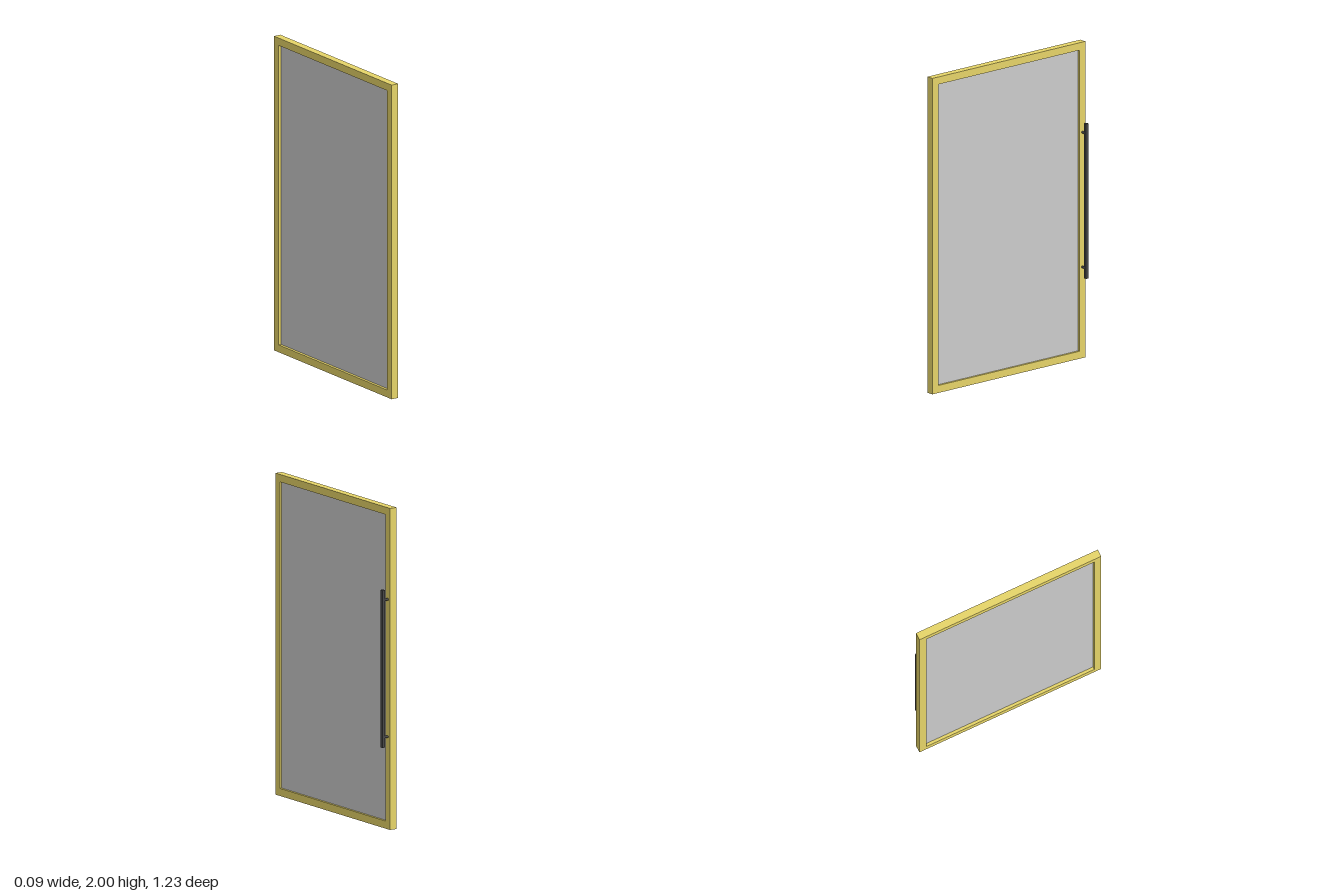
import * as THREE from 'three';

const yellow = new THREE.MeshStandardMaterial({ color: 0xe6d468 });
const grey = new THREE.MeshStandardMaterial({ color: 0xcccccc });
const dark = new THREE.MeshStandardMaterial({ color: 0x484848 });

const W = 1.23, H = 2, D = 0.048, BORDER = 0.047; // door width, height, depth, frame border

function add(parent, name, geometry, material, x, y, z) {
  const mesh = new THREE.Mesh(geometry, material);
  mesh.name = name;
  mesh.position.set(x, y, z);
  parent.add(mesh);
  return mesh;
}

function rectangle(PathType, z, y0, y1) {
  return new PathType([[-z, y0], [z, y0], [z, y1], [-z, y1]].map(p => new THREE.Vector2(...p)));
}

export function createModel() {
  const door = new THREE.Group();
  door.name = 'door';

  // Frame: a rectangle with a hole, extruded along x
  const outline = rectangle(THREE.Shape, W / 2, 0, H);
  outline.holes.push(rectangle(THREE.Path, W / 2 - BORDER, BORDER, H - BORDER));
  const frame = new THREE.ExtrudeGeometry(outline, { depth: D, bevelEnabled: false });
  frame.rotateY(Math.PI / 2);
  add(door, 'frame', frame, yellow, -D, 0, 0);

  // Panel recessed inside the frame
  add(door, 'panel', new THREE.BoxGeometry(0.016, H - 2 * BORDER, W - 2 * BORDER), grey, -0.022, H / 2, 0);

  // Long pull bar on two round standoffs
  const handle = new THREE.Group();
  handle.name = 'handle';
  handle.position.z = -0.59;
  door.add(handle);
  add(handle, 'pullBar', new THREE.BoxGeometry(0.02, 0.98, 0.02), dark, 0.037, 1.003, 0);
  for (const y of [0.577, 1.43]) {
    const post = new THREE.CylinderGeometry(0.0075, 0.0075, 0.03, 20);
    post.rotateZ(Math.PI / 2);
    add(handle, 'standoff', post, dark, 0.014, y, 0);
  }
  return door;
}
